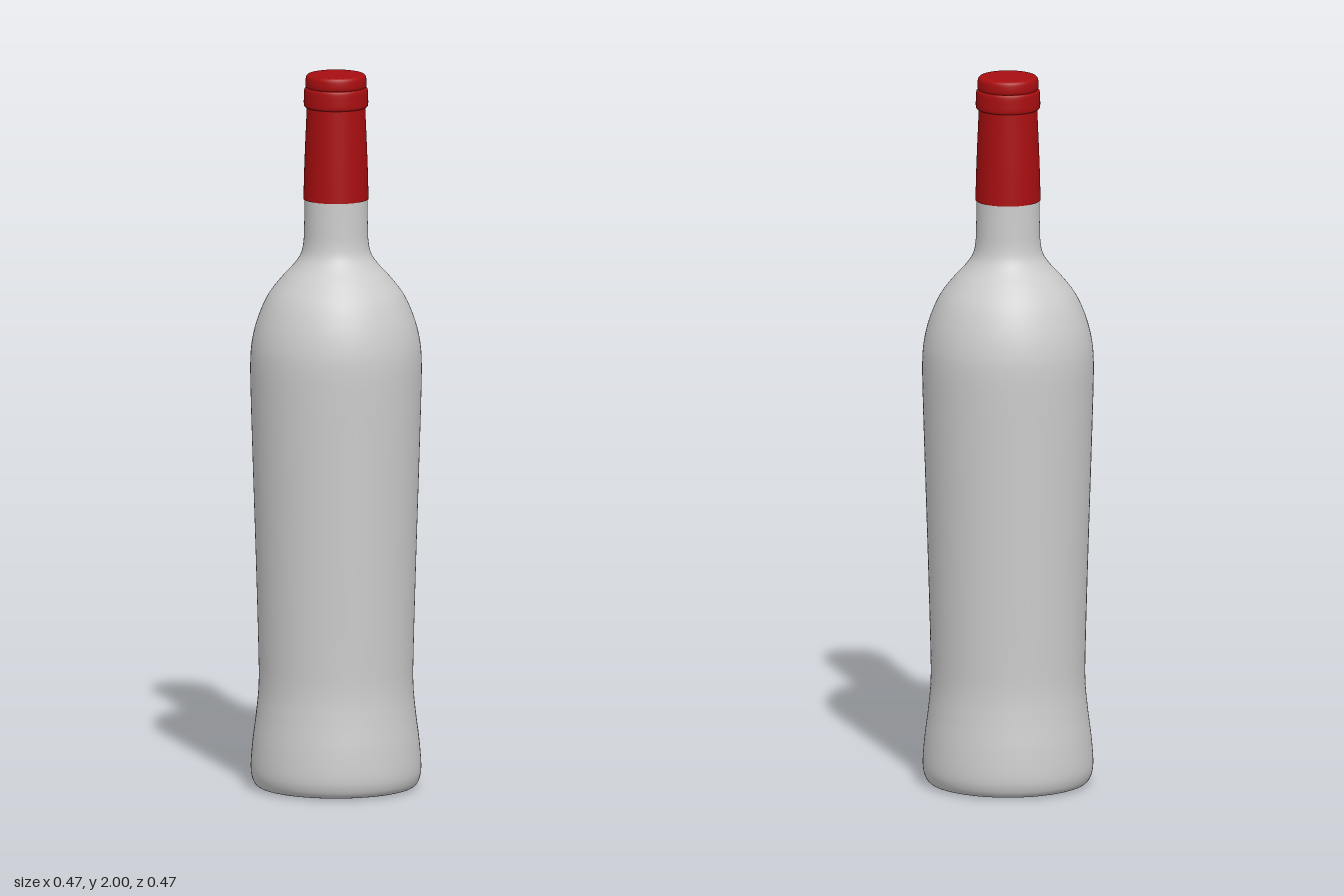
import * as THREE from 'three';

const glass = new THREE.MeshStandardMaterial({ color: 0xcccccc });
glass.name = 'paleGrey';
const foil = new THREE.MeshStandardMaterial({ color: 0xa80e10 });
foil.name = 'deepRed';

const toPoints = (pairs) => pairs.map(([r, y]) => new THREE.Vector2(r, y));

// Smooth curve through a few radius/height pairs
function smoothProfile(pairs, divisions) {
  const points = new THREE.SplineCurve(toPoints(pairs)).getPoints(divisions);
  points.forEach((p) => { p.x = Math.max(0, p.x); });
  return points;
}

function turned(name, points, material) {
  const mesh = new THREE.Mesh(new THREE.LatheGeometry(points, 96), material);
  mesh.name = name;
  return mesh;
}

export function createModel() {
  const bottle = new THREE.Group();
  bottle.name = 'bottle';

  // Hollow in the base, running out to the standing rim
  const base = smoothProfile([
    [0, 0.15], [0.05, 0.143], [0.09, 0.115], [0.115, 0.07],
    [0.135, 0.03], [0.165, 0.005], [0.195, 0],
  ], 40);
  bottle.add(turned('hollowBase', base, glass));

  // Waisted body, shoulder and neck
  const body = smoothProfile([
    [0.195, 0], [0.218, 0.006], [0.231, 0.025], [0.236, 0.06], [0.231, 0.13],
    [0.221, 0.21], [0.214, 0.29], [0.215, 0.4], [0.222, 0.65], [0.23, 0.9],
    [0.236, 1.1], [0.237, 1.2], [0.231, 1.26], [0.215, 1.32], [0.188, 1.38],
    [0.15, 1.43], [0.118, 1.465], [0.098, 1.495], [0.09, 1.53], [0.088, 1.58],
    [0.087, 1.65],
  ], 140);
  bottle.add(turned('bodyAndNeck', body, glass));

  // Foil sleeve around the neck, with a small lower edge
  bottle.add(turned('foilEdge', toPoints([[0.086, 1.65], [0.09, 1.65]]), foil));
  bottle.add(turned('foilSleeve', toPoints([
    [0.09, 1.65], [0.0885, 1.72], [0.0855, 1.8], [0.082, 1.88], [0.081, 1.91],
  ]), foil));

  // Raised ring below the mouth
  bottle.add(turned('lipRing', smoothProfile([
    [0.078, 1.907], [0.086, 1.909], [0.089, 1.916], [0.089, 1.935],
    [0.088, 1.955], [0.085, 1.962], [0.078, 1.964],
  ], 30), foil));

  // Rounded cap, closed on top
  bottle.add(turned('capSide', smoothProfile([
    [0.08, 1.96], [0.084, 1.968], [0.0845, 1.98], [0.083, 1.992],
    [0.079, 1.998], [0.073, 2],
  ], 24), foil));
  const capTop = new THREE.Mesh(new THREE.CircleGeometry(0.073, 96), foil);
  capTop.name = 'capTop';
  capTop.rotation.x = -Math.PI / 2;
  capTop.position.y = 2;
  bottle.add(capTop);

  return bottle;
}
